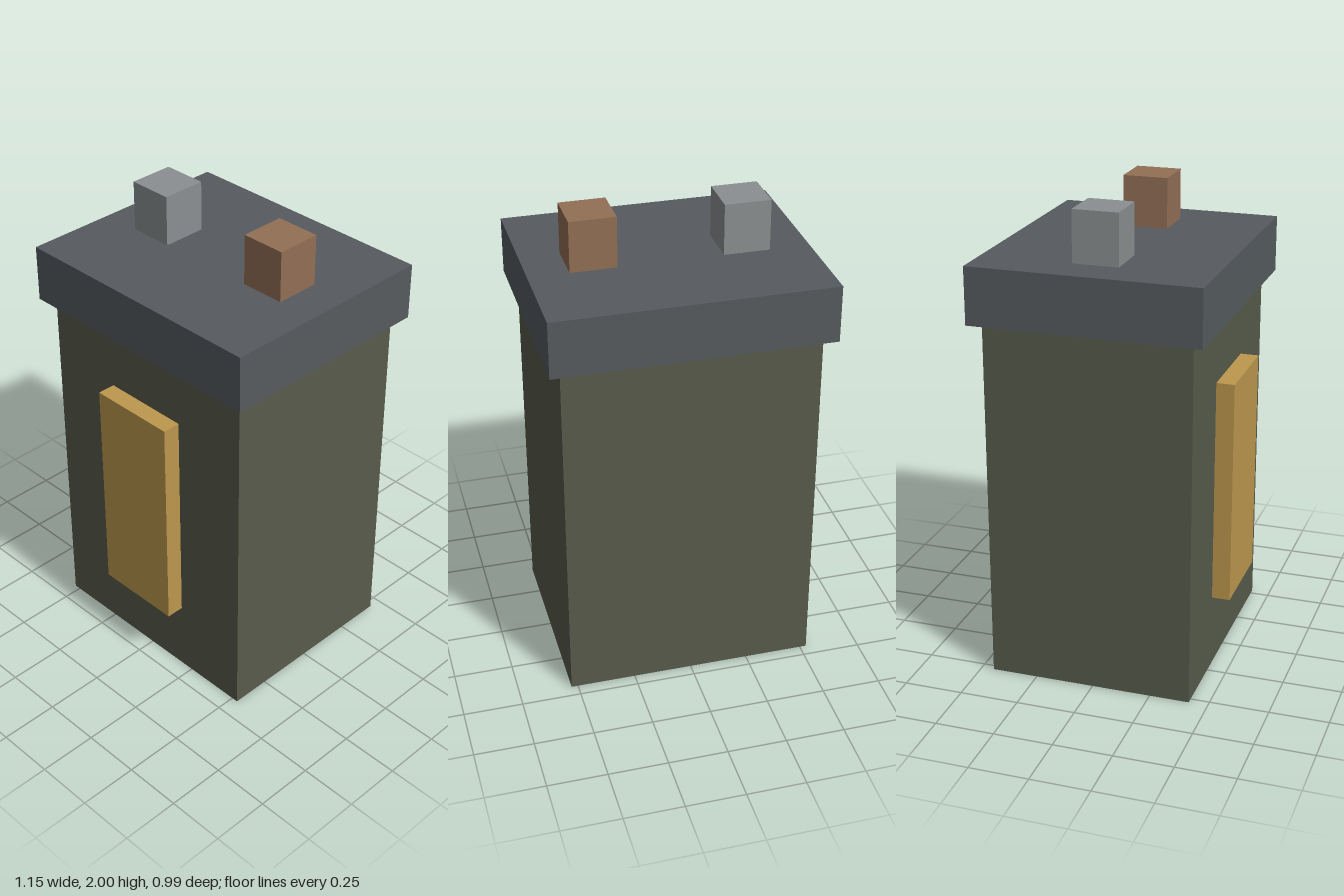
import * as THREE from 'three';

export function createModel() {
  const model = new THREE.Group();
  const zMid = -0.0135; // the case sits slightly back so the raised panel balances it

  // Box given by its base height, size and centre
  function block(name, color, [w, h, d], x, bottom, z) {
    const mesh = new THREE.Mesh(
      new THREE.BoxGeometry(w, h, d),
      new THREE.MeshStandardMaterial({ color, flatShading: true })
    );
    mesh.name = name;
    mesh.position.set(x, bottom + h / 2, z);
    model.add(mesh);
  }

  // Main case and overhanging lid
  block('case', 0x575b4a, [1.056, 1.545, 0.865], 0, 0, zMid);
  block('lid', 0x565b5f, [1.154, 0.24, 0.962], 0, 1.545, zMid);

  // Raised panel on the front face
  block('frontPanel', 0xbd984e, [0.385, 0.962, 0.077], 0, 0.317, 0.457);

  // Two terminals on the lid
  block('rightTerminal', 0x8a8f91, [0.192, 0.215, 0.192], -0.313, 1.785, zMid);
  block('leftTerminal', 0x936f55, [0.192, 0.215, 0.192], 0.313, 1.785, zMid);

  return model;
}
